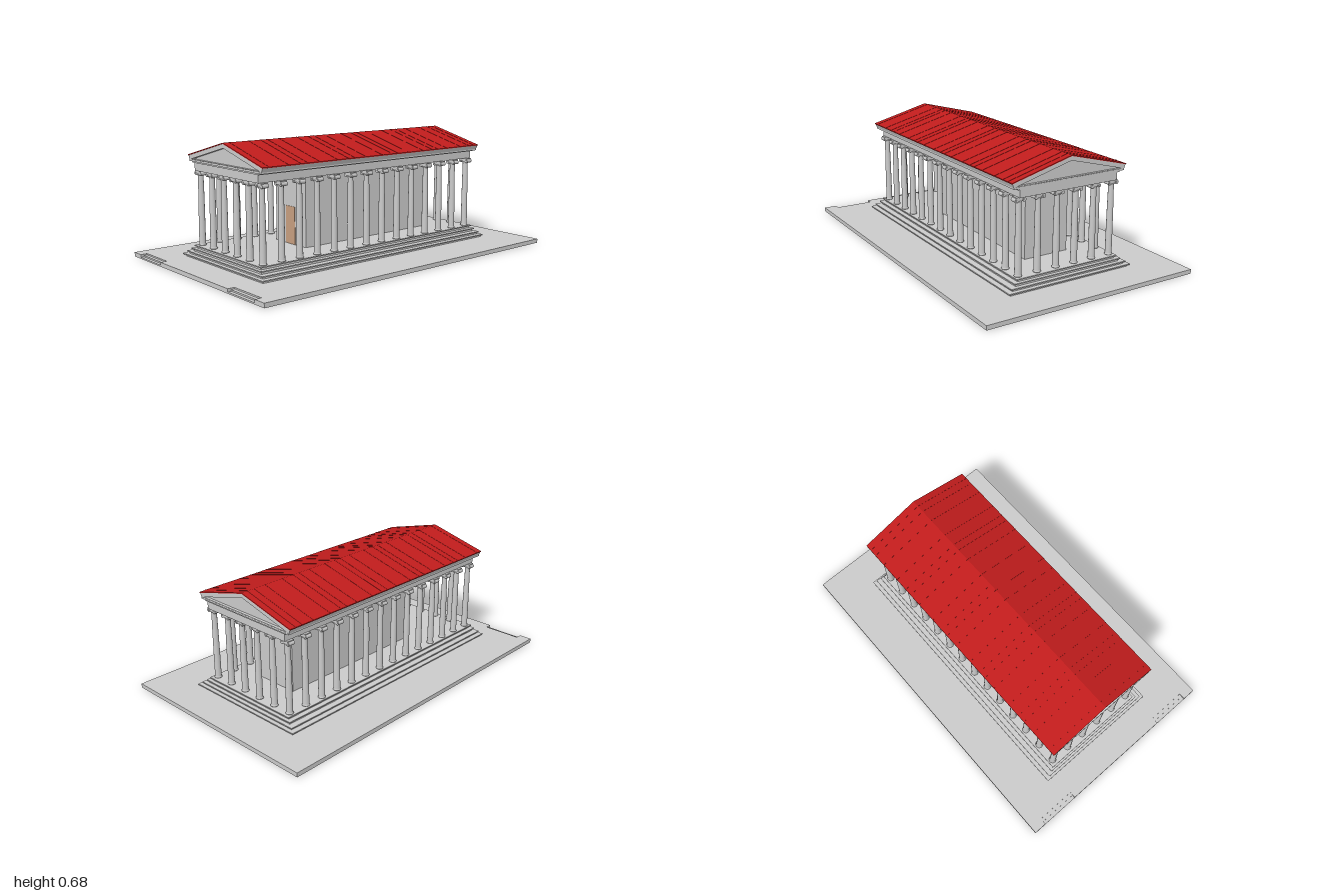
import * as THREE from 'three';

const grey = new THREE.MeshStandardMaterial({ color: 0xcccccc });
const red = new THREE.MeshStandardMaterial({ color: 0xc01c1c });
const tan = new THREE.MeshStandardMaterial({ color: 0xc8a080 });

function add(parent, name, geometry, material = grey) {
  const mesh = new THREE.Mesh(geometry, material);
  mesh.name = name;
  parent.add(mesh);
  return mesh;
}

// Box from its limits on each axis
function block(parent, name, x0, x1, y0, y1, z0, z1, material) {
  const mesh = add(parent, name, new THREE.BoxGeometry(x1 - x0, y1 - y0, z1 - z0), material);
  mesh.position.set((x0 + x1) / 2, (y0 + y1) / 2, (z0 + z1) / 2);
  return mesh;
}

// Centred box given by half widths
const tier = (parent, name, hx, hz, y0, y1) => block(parent, name, -hx, hx, y0, y1, -hz, hz);

const outline = (points) => new THREE.Shape(points.map(([a, b]) => new THREE.Vector2(a, b)));

// Cross-section in z and y, extruded along x and centred
function alongX(shape, length) {
  const g = new THREE.ExtrudeGeometry(shape, { depth: length, bevelEnabled: false });
  return g.translate(0, 0, -length / 2).rotateY(Math.PI / 2);
}

// Rectangular ring lying flat between two heights
function ring(hx, hz, inner, y0, y1) {
  const rect = (a, b) => [[-a, -b], [a, -b], [a, b], [-a, b]];
  const shape = outline(rect(hx, hz));
  shape.holes.push(outline(rect(hx - inner, hz - inner)));
  const g = new THREE.ExtrudeGeometry(shape, { depth: y1 - y0, bevelEnabled: false });
  return g.rotateX(-Math.PI / 2).translate(0, y0, 0);
}

// Ground slab with two notches in its -x edge, each holding small steps
function makeGround() {
  const ground = new THREE.Group();
  ground.name = 'ground';
  const n = -0.962;
  const shape = outline([
    [-1, -0.63], [1, -0.63], [1, 0.63], [-1, 0.63],
    [-1, 0.555], [n, 0.555], [n, 0.33], [-1, 0.33],
    [-1, -0.33], [n, -0.33], [n, -0.555], [-1, -0.555],
  ]);
  const g = new THREE.ExtrudeGeometry(shape, { depth: 0.024, bevelEnabled: false });
  add(ground, 'slab', g.rotateX(-Math.PI / 2));
  for (const s of [-1, 1]) {
    for (let i = 0; i < 2; i++) {
      const step = block(ground, 'entryStep', -1 + i * 0.019, -0.981 + i * 0.019, 0, 0.008 * (i + 1), -0.1125, 0.1125);
      step.position.z = s * 0.4425;
    }
  }
  return ground;
}

// Column geometries shared by the whole colonnade
const shaftGeometry = new THREE.LatheGeometry([
  [0, 0.09], [0.02, 0.09], [0.021, 0.094], [0.0185, 0.098], [0.018, 0.102],
  [0.0175, 0.22], [0.0165, 0.35], [0.0145, 0.472], [0.017, 0.477], [0.019, 0.484], [0, 0.486],
].map(([r, y]) => new THREE.Vector2(r, y)), 18);
const voluteGeometry = new THREE.CylinderGeometry(0.011, 0.011, 0.038, 14).rotateZ(Math.PI / 2);
const eyeGeometry = new THREE.CylinderGeometry(0.005, 0.005, 0.042, 10).rotateZ(Math.PI / 2);

function makeColumn(x, z) {
  const column = new THREE.Group();
  column.name = 'column';
  add(column, 'shaft', shaftGeometry);
  for (const s of [-1, 1]) {
    add(column, 'volute', voluteGeometry).position.set(0, 0.488, s * 0.022);
    add(column, 'voluteEye', eyeGeometry).position.set(0, 0.488, s * 0.022);
  }
  block(column, 'bolster', -0.018, 0.018, 0.484, 0.498, -0.022, 0.022);
  block(column, 'abacus', -0.021, 0.021, 0.497, 0.504, -0.025, 0.025);
  column.position.set(x, 0, z);
  return column;
}

export function createModel() {
  const model = new THREE.Group();
  model.name = 'temple';
  model.add(makeGround());

  const building = new THREE.Group();
  building.name = 'building';
  building.position.set(-0.0165, 0, -0.0045);
  model.add(building);

  // Stepped platform: each step is a riser under a projecting tread
  const steps = [
    [0.815, 0.38, 0.024, 0.039], [0.802, 0.359, 0.039, 0.055],
    [0.79, 0.333, 0.055, 0.073], [0.78, 0.315, 0.073, 0.09],
  ];
  for (const [hx, hz, y0, y1] of steps) {
    tier(building, 'stepRiser', hx - 0.01, hz - 0.01, y0, y1 - 0.006);
    tier(building, 'stepTread', hx, hz, y1 - 0.006, y1);
  }

  // Colonnade of 14 by 6 columns
  const pitch = 0.1146;
  for (let i = 0; i < 14; i++) {
    for (let j = 0; j < 6; j++) {
      if (i % 13 && j % 5) continue;
      building.add(makeColumn((i - 6.5) * pitch, (j - 2.5) * pitch));
    }
  }

  // Inner chamber with its door in the -x end
  block(building, 'chamber', -0.357, 0.579, 0.09, 0.49, -0.134, 0.134);
  block(building, 'door', -0.36, -0.35, 0.09, 0.3, -0.04, 0.04, tan);

  // Beams, ceiling and cornice
  add(building, 'architrave', ring(0.774, 0.298, 0.05, 0.503, 0.545));
  tier(building, 'ceiling', 0.77, 0.294, 0.538, 0.547);
  tier(building, 'lowerCornice', 0.778, 0.312, 0.545, 0.552);
  tier(building, 'upperCornice', 0.782, 0.337, 0.552, 0.561);

  // Gable frame and recessed infill
  const frame = outline([[-0.338, 0.56], [0.338, 0.56], [0.347, 0.583], [0, 0.673], [-0.347, 0.583]]);
  frame.holes.push(outline([[-0.322, 0.564], [0.322, 0.564], [0, 0.649]]));
  add(building, 'gableFrame', alongX(frame, 1.562));
  add(building, 'tympanum', alongX(outline([[-0.325, 0.562], [0.325, 0.562], [0, 0.651]]), 1.53));

  // Roof sheet with slim seams running down both slopes
  const half = 0.35, eave = 0.586, ridge = 0.677;
  const sheet = (lift, t) => outline([
    [-half, eave + lift - t], [0, ridge + lift - t], [half, eave + lift - t],
    [half, eave + lift], [0, ridge + lift], [-half, eave + lift],
  ]);
  add(building, 'roof', alongX(sheet(0, 0.005), 1.567), red);
  const seam = alongX(sheet(0.0012, 0.003), 0.003);
  for (let bay = 0; bay < 5; bay++) {
    for (const offset of [0.04, 0.158, 0.233, 0.276]) {
      add(building, 'roofSeam', seam, red).position.x = -0.783 + bay * 0.313 + offset;
    }
  }
  return model;
}
